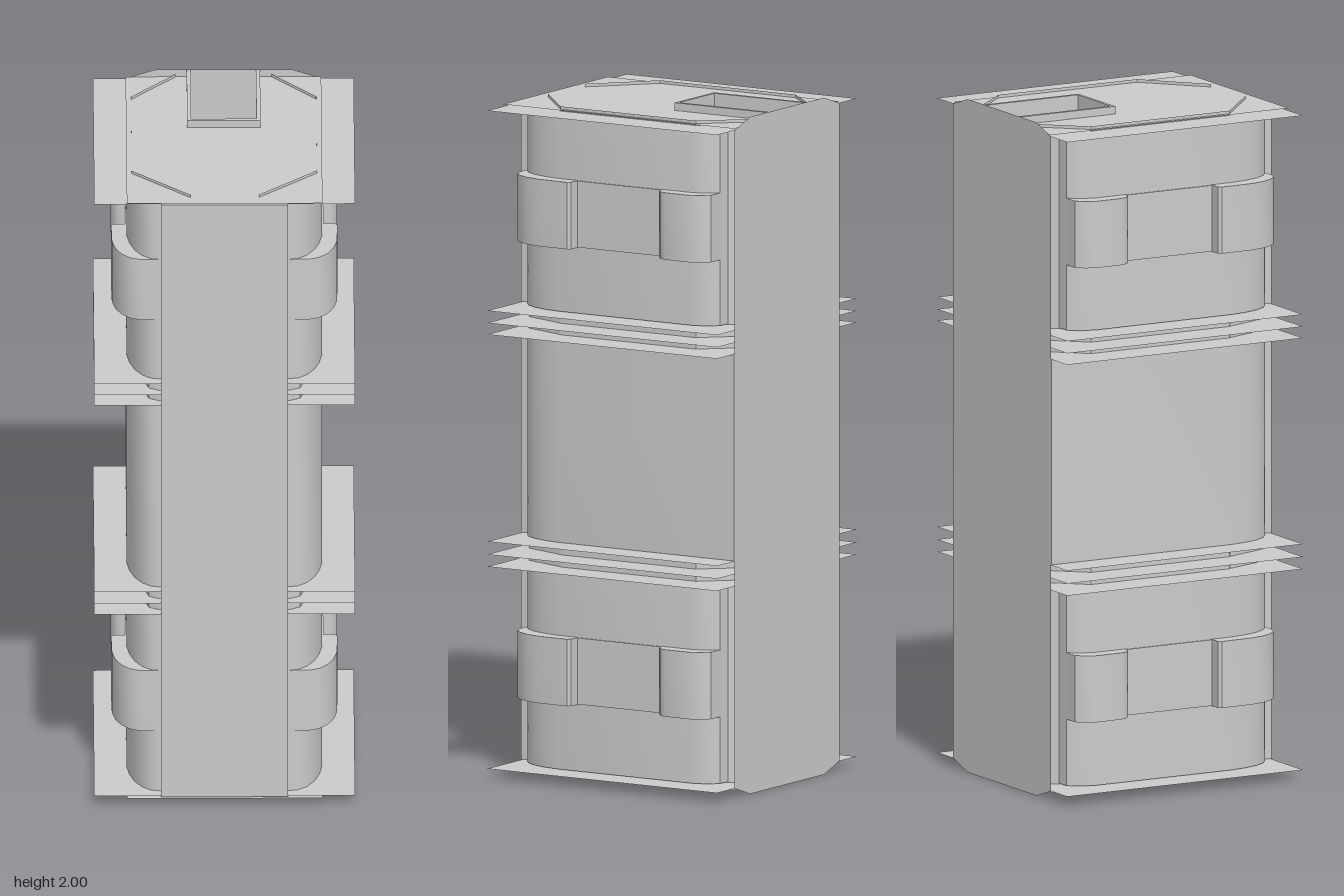
import * as THREE from 'three';
import { toCreasedNormals } from 'three/addons/utils/BufferGeometryUtils.js';

const mat = new THREE.MeshStandardMaterial({ color: 0xcccccc, side: THREE.DoubleSide });

// Slot that runs the full height at the back
const SLOT = [[0.095, -0.4], [0.095, -0.09]];

// Closes a half outline (x > 0, as [x, z]) with its mirror image
const mirrored = half => [...half, ...half.map(([x, z]) => [-x, z]).reverse()];

// Outline that starts at the middle front and ends at the slot
const slotted = half => mirrored([...half, ...SLOT]);

// Extrudes an [x, z] outline from y0 to y1
function prism(outline, y0, y1) {
  const shape = new THREE.Shape(outline.map(([x, z]) => new THREE.Vector2(x, -z)));
  const geo = new THREE.ExtrudeGeometry(shape, { depth: y1 - y0, bevelEnabled: false });
  geo.rotateX(-Math.PI / 2).translate(0, y0, 0);
  return toCreasedNormals(geo, 0.6);
}

// Flat horizontal sheet
function sheet(outline, y) {
  const shape = new THREE.Shape(outline.map(([x, z]) => new THREE.Vector2(x, -z)));
  return new THREE.ShapeGeometry(shape).rotateX(-Math.PI / 2).translate(0, y, 0);
}

// Open upright wall following an [x, z] path
function wall(path, y0, y1) {
  const pos = [];
  for (let i = 0; i < path.length - 1; i++) {
    const [ax, az] = path[i], [bx, bz] = path[i + 1];
    pos.push(ax, y0, az, bx, y0, bz, bx, y1, bz, ax, y0, az, bx, y1, bz, ax, y1, az);
  }
  const geo = new THREE.BufferGeometry();
  geo.setAttribute('position', new THREE.Float32BufferAttribute(pos, 3));
  geo.computeVertexNormals();
  return geo;
}

export function createModel() {
  const group = new THREE.Group();
  const add = (name, geo) => {
    const mesh = new THREE.Mesh(geo, mat);
    mesh.name = name;
    group.add(mesh);
  };

  // Rounded front corner shared by the covers and the middle body
  const frontCurve = [[0.19, 0.365], [0.215, 0.36], [0.24, 0.34], [0.262, 0.305], [0.277, 0.26], [0.285, 0.21]];
  const cover = slotted([...frontCurve, [0.285, -0.25], [0.272, -0.295], [0.245, -0.325], [0.095, -0.325]].slice(0, -1)
    .concat([[0.2, -0.327], [0.14, -0.398]]));
  const middle = slotted([...frontCurve, [0.285, -0.398]]);

  // Middle body
  add('middleBody', prism(middle, 0.70, 1.31));

  // Eight-sided inner shell, standing slightly proud of both ends
  for (const s of [-1, 1])
    add('innerShell', wall([[0.1 * s, 0.362], [0.27 * s, 0.21], [0.27 * s, -0.257], [0.14 * s, -0.398]], 0.014, 1.986));

  // Thin separator sheets
  const wide = slotted([[0.38, 0.394], [0.38, -0.4]]);
  for (const y of [0.028, 0.625, 0.661, 0.699, 1.311, 1.345, 1.381, 1.972])
    add('separatorSheet', sheet(wide, y));

  // End plates
  const cap = slotted([[0.285, 0.4], [0.285, -0.4]]);
  for (const y of [0.023, 1.977]) add('endPlate', sheet(cap, y));

  // Front panel
  const front = new THREE.BoxGeometry(0.37, 1.944, 0.035);
  add('frontPanel', front.translate(0, 1, 0.3825));

  // Back panel with clipped corners
  const back = new THREE.Shape([[0.2, 0], [0.285, 0.028], [0.285, 1.972], [0.2, 2],
    [-0.2, 2], [-0.285, 1.972], [-0.285, 0.028], [-0.2, 0]].map(p => new THREE.Vector2(...p)));
  add('backPanel', new THREE.ShapeGeometry(back).translate(0, 0, -0.4));

  // Slot lining, rising as a rim at both ends
  add('slotLining', wall([[0.095, -0.4], [0.095, -0.09], [-0.095, -0.09], [-0.095, -0.4]], 0, 2));
  const rim = mirrored([[0.107, -0.08], [0.107, -0.399], ...SLOT]);
  for (const y of [0, 1.977]) add('slotRim', prism(rim, y, y + 0.023));

  // Clamp cross-sections on one side
  const frontClamp = [[0.19, 0.2], [0.19, 0.366], [0.245, 0.366], [0.275, 0.355], [0.3, 0.33], [0.318, 0.295],
    [0.328, 0.25], [0.33, 0.15], [0.322, 0.14], [0.27, 0.14]];
  const rearClamp = [[0.24, -0.15], [0.287, -0.15], [0.308, -0.155], [0.322, -0.167], [0.33, -0.19],
    [0.33, -0.275], [0.318, -0.305], [0.295, -0.326], [0.24, -0.326]];
  const strap = [[0.25, 0.16], [0.289, 0.16], [0.289, -0.17], [0.25, -0.17]];

  // Lower and upper covers with their clamps
  for (const [y0, y1] of [[0.03, 0.623], [1.383, 1.97]]) {
    add('cover', prism(cover, y0, y1));
    const mid = (y0 + y1) / 2;
    for (const s of [-1, 1]) {
      const side = pts => pts.map(([x, z]) => [x * s, z]);
      add('frontClamp', prism(side(frontClamp), mid - 0.099, mid + 0.099));
      add('rearClamp', prism(side(rearClamp), mid - 0.099, mid + 0.099));
      add('clampStrap', prism(side(strap), mid - 0.098, mid + 0.098));
    }
  }

  // Recessed core seen between the separator sheets
  const core = slotted([[0.19, 0.365], [0.22, 0.35], [0.268, 0.21], [0.268, -0.24], [0.14, -0.398]]);
  for (const y of [0.625, 1.311]) add('recessedCore', prism(core, y, y + 0.07));

  return group;
}
